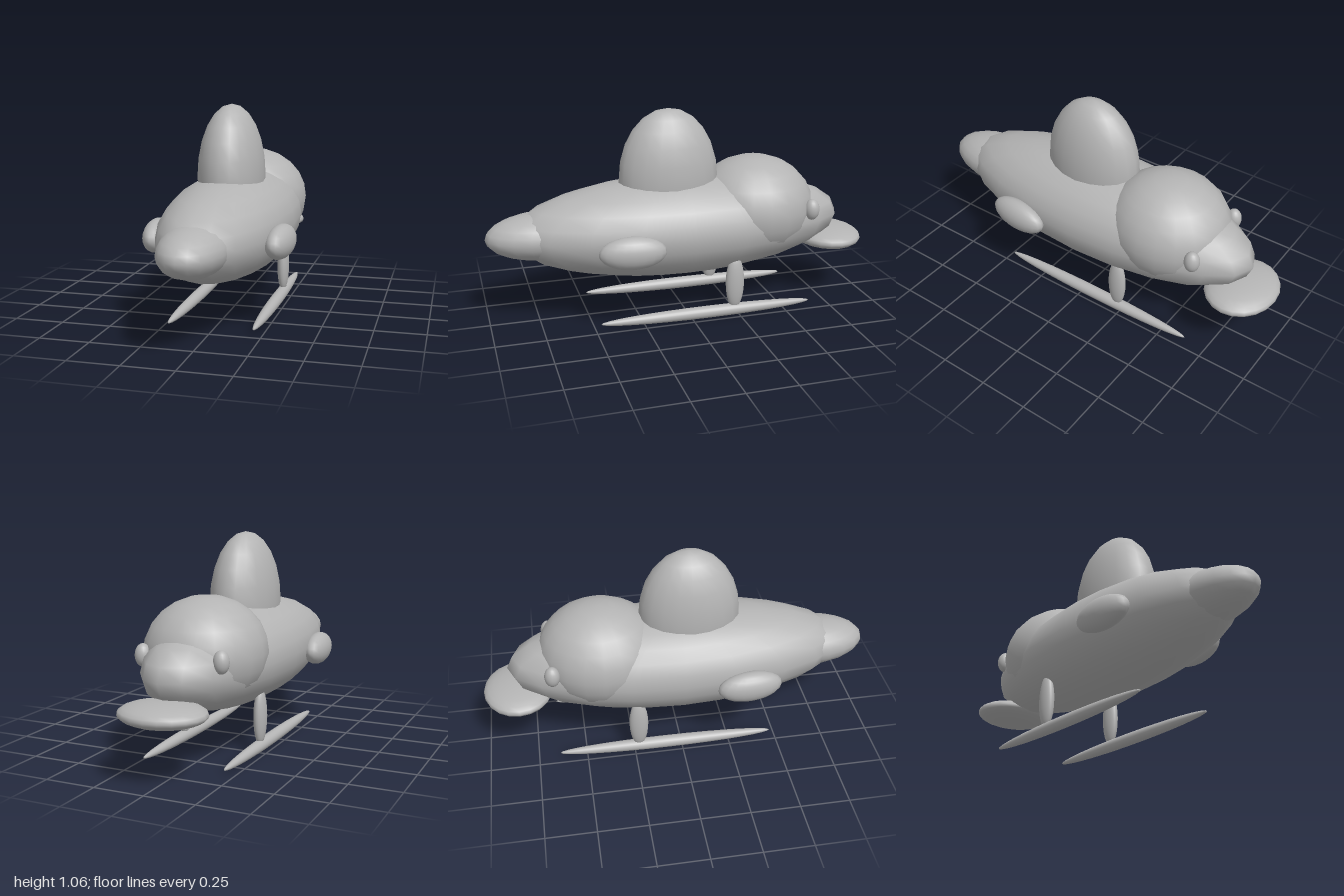
import * as THREE from 'three';

export function createModel() {
  const model = new THREE.Group();
  const grey = new THREE.MeshStandardMaterial({ color: 0xb4b4b4 });
  grey.name = 'plain grey';
  const ball = new THREE.SphereGeometry(1, 20, 12);
  const fineBall = new THREE.SphereGeometry(1, 24, 16).rotateX(Math.PI / 2);

  // Every part is a stretched ball: centre and three radii
  function ellipsoid(name, center, radii, geometry = ball) {
    const mesh = new THREE.Mesh(geometry, grey);
    mesh.name = name;
    mesh.position.set(...center);
    mesh.scale.set(...radii);
    model.add(mesh);
    return mesh;
  }

  // Centre line
  ellipsoid('body', [0, 0.459, 0.007], [0.313, 0.257, 0.873]);
  ellipsoid('nose', [0, 0.457, 0.695], [0.162, 0.121, 0.305]);
  ellipsoid('topFin', [0, 0.7, 0.068], [0.165, 0.36, 0.258]);
  ellipsoid('headDome', [0, 0.52, -0.39], [0.297, 0.269, 0.32]);
  ellipsoid('rearDisc', [0, 0.318, -0.822], [0.212, 0.057, 0.178]);

  // Mirrored pairs
  for (const [side, s] of [['left', 1], ['right', -1]]) {
    ellipsoid(side + 'Eye', [s * 0.2, 0.53, -0.643], [0.038, 0.055, 0.039]);
    const pod = ellipsoid(side + 'Pod', [s * 0.308, 0.43, 0.328], [0.064, 0.082, 0.165]);
    pod.rotation.y = -s * 0.08;
    ellipsoid(side + 'Leg', [s * 0.21, 0.18, -0.226], [0.031, 0.145, 0.049]);
    ellipsoid(side + 'Skid', [s * 0.21, 0.032, -0.083], [0.032, 0.031, 0.557], fineBall);
  }
  return model;
}
